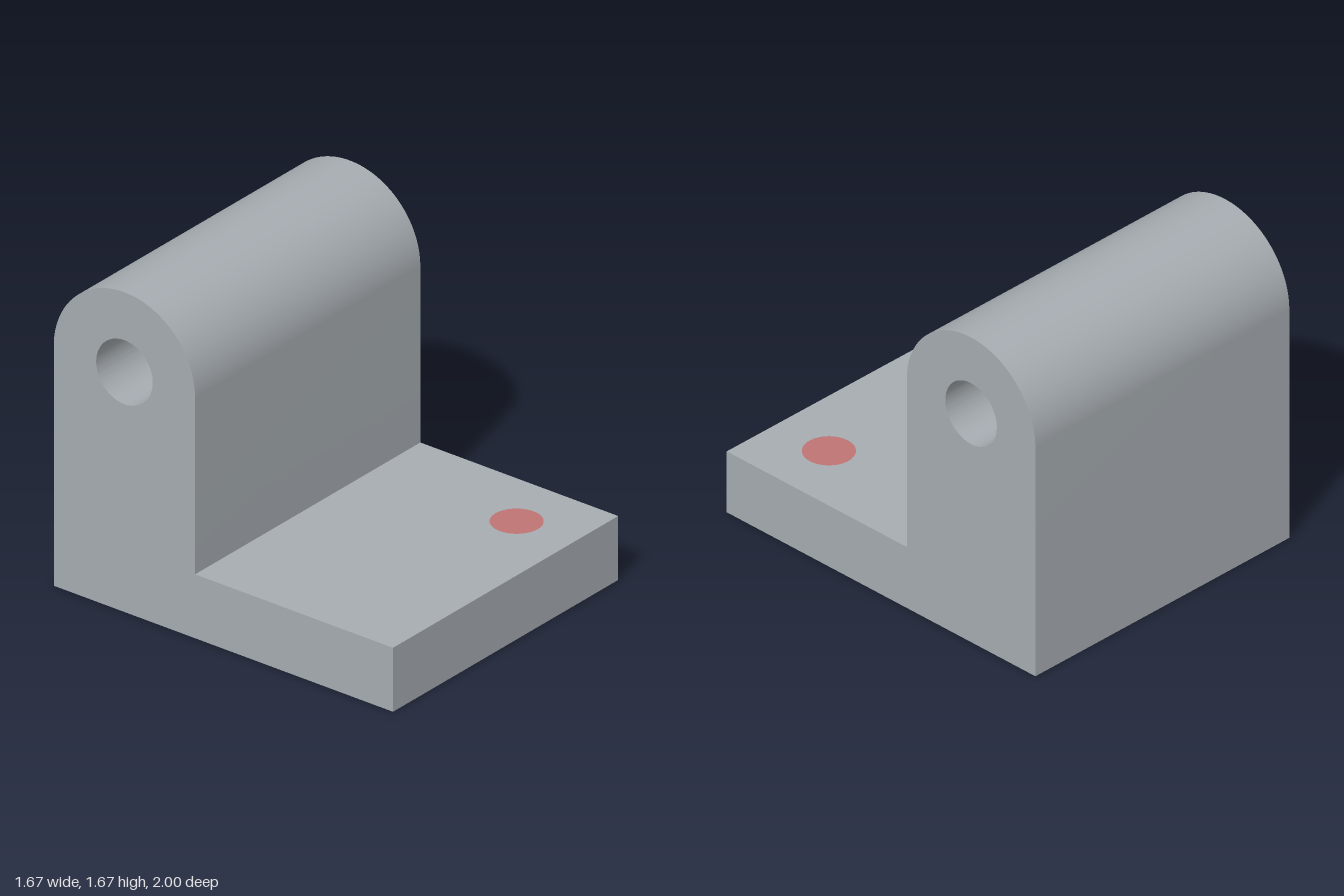
import * as THREE from 'three';
import { toCreasedNormals } from 'three/addons/utils/BufferGeometryUtils.js';

const WIDTH = 5 / 3, BASE = 1 / 3;

export function createModel() {
  const model = new THREE.Group();
  model.name = 'hingeBracket';

  const grey = new THREE.MeshStandardMaterial({ color: 0xa6acb1 });
  grey.name = 'grey metal';
  const red = new THREE.MeshStandardMaterial({ color: 0xc07474 });
  red.name = 'muted red';

  // Side profile: flat base with a round-topped upright at the back
  const pinU = 7 / 12, pinY = 1.25;
  const profile = new THREE.Shape();
  profile.moveTo(-1, 0);
  profile.lineTo(1, 0);
  profile.lineTo(1, pinY);
  profile.absarc(pinU, pinY, 5 / 12, 0, Math.PI, false);
  profile.lineTo(1 / 6, BASE);
  profile.lineTo(-1, BASE);
  profile.closePath();

  // Pin hole running the full width
  const hole = new THREE.Path();
  hole.absarc(pinU, pinY, 1 / 6, 0, Math.PI * 2, true);
  profile.holes.push(hole);

  const extruded = new THREE.ExtrudeGeometry(profile, {
    depth: WIDTH, bevelEnabled: false, curveSegments: 64,
  });
  extruded.translate(0, 0, -WIDTH / 2);
  extruded.rotateY(Math.PI / 2);
  const bracket = new THREE.Mesh(toCreasedNormals(extruded, 0.3), grey);
  bracket.name = 'bracket';
  model.add(bracket);

  // Round marks on the top and underside of the base
  for (const [name, y, turn] of [['topMark', BASE + 0.001, -1], ['bottomMark', -0.001, 1]]) {
    const mark = new THREE.Mesh(new THREE.CircleGeometry(0.125, 64), red);
    mark.name = name;
    mark.rotation.x = turn * Math.PI / 2;
    mark.position.set(0.5, y, 2 / 3);
    model.add(mark);
  }

  return model;
}
